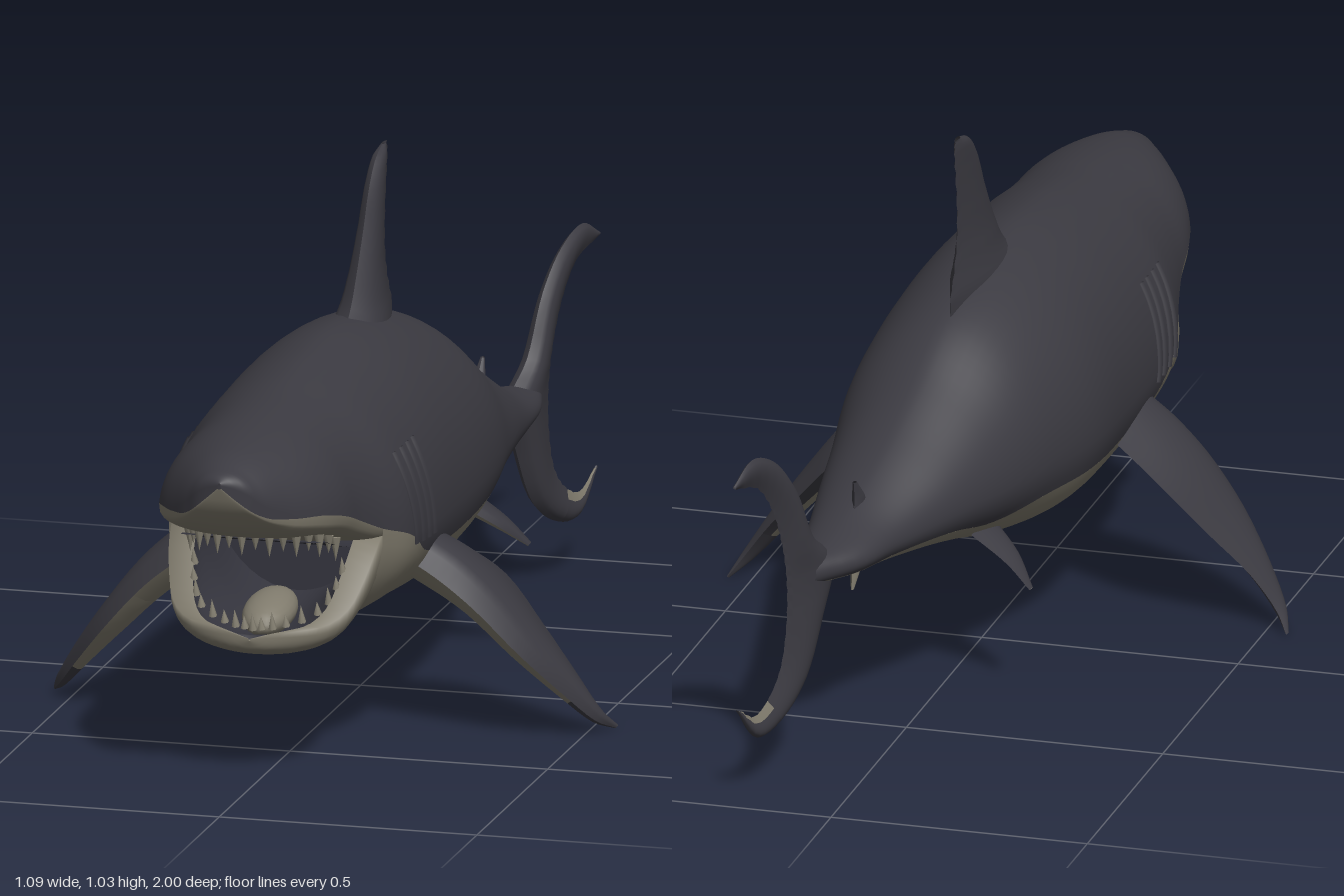
import * as THREE from 'three';

const mat = (name, color) => {
  const m = new THREE.MeshStandardMaterial({ color, side: THREE.DoubleSide });
  m.name = name;
  return m;
};
const V = (x, y, z) => new THREE.Vector3(x, y, z);

// Skin a list of cross-sections that all have the same number of points
function loft(rings) {
  const n = rings[0].length, idx = [];
  for (let i = 0; i < rings.length - 1; i++)
    for (let j = 0; j < n - 1; j++) {
      const a = i * n + j, c = a + n;
      idx.push(a, a + 1, c, a + 1, c + 1, c);
    }
  const g = new THREE.BufferGeometry().setFromPoints(rings.flat());
  g.setIndex(idx);
  g.computeVertexNormals();
  return g;
}
const steps = (a, b, n) => Array.from({ length: n + 1 }, (_, i) => a + (b - a) * i / n);

// Smooth table lookup: first column is z
function table(rows) {
  const f = new THREE.CubicInterpolant(rows.map(r => r[0]), rows.flatMap(r => r.slice(1)), rows[0].length - 1);
  return z => Array.from(f.evaluate(z));
}

// z, centre x, half width, top, widest y, bottom, colour line, upper lip
const bodyAt = table([
  [-0.74, 0.127, 0.022, 0.41, 0.385, 0.36, 0.364, 0.44],
  [-0.66, 0.105, 0.064, 0.422, 0.385, 0.352, 0.364, 0.44],
  [-0.55, 0.09, 0.09, 0.455, 0.39, 0.34, 0.366, 0.44],
  [-0.4, 0.06, 0.14, 0.532, 0.41, 0.32, 0.366, 0.44],
  [-0.28, 0.04, 0.175, 0.605, 0.42, 0.295, 0.344, 0.44],
  [-0.15, 0.025, 0.21, 0.688, 0.43, 0.26, 0.36, 0.44],
  [0, 0.01, 0.235, 0.735, 0.43, 0.236, 0.362, 0.44],
  [0.2, 0.005, 0.24, 0.76, 0.43, 0.229, 0.362, 0.44],
  [0.4, 0.002, 0.24, 0.75, 0.43, 0.25, 0.385, 0.44],
  [0.5, 0.002, 0.235, 0.738, 0.44, 0.255, 0.44, 0.44],
  [0.6, 0, 0.208, 0.725, 0.46, 0.25, 0.475, 0.442],
  [0.68, 0, 0.191, 0.718, 0.49, 0.25, 0.508, 0.463],
  [0.76, 0, 0.182, 0.71, 0.52, 0.25, 0.538, 0.49],
  [0.84, 0, 0.158, 0.7, 0.545, 0.25, 0.558, 0.505],
  [0.91, 0, 0.115, 0.688, 0.566, 0.25, 0.566, 0.533],
  [0.96, 0, 0.073, 0.672, 0.6, 0.25, 0.58, 0.57],
  [0.99, 0, 0.034, 0.66, 0.635, 0.25, 0.612, 0.608],
  [1, 0, 0.003, 0.65, 0.645, 0.25, 0.64, 0.638],
]);
// Shoulders slope a little; the snout stays full
function bodyPoint(z, a, grow = 0) {
  const [cx, hw, top, cy, bot] = bodyAt(z), s = Math.sin(a), c = Math.cos(a);
  const slope = s > 0 ? 1.15 - 0.15 * THREE.MathUtils.smoothstep(z, 0.45, 0.65) : 1;
  return V(cx + (hw + grow) * Math.sign(c) * Math.abs(c) ** slope,
    cy + ((s > 0 ? top - cy : cy - bot) + grow) * s, z);
}
function splitAngle(z) {
  const [, , top, cy, bot, split] = bodyAt(z);
  const h = split > cy ? top - cy : cy - bot;
  return Math.asin(THREE.MathUtils.clamp((split - cy) / h, -1, 1));
}
// Snout underside between the two colour lines
function underside(z) {
  const [cx, hw, , , , split, lip] = bodyAt(z), w = hw * Math.cos(splitAngle(z));
  return steps(Math.PI, 2 * Math.PI, 20).map(a =>
    V(cx + w * Math.cos(a), split - (split - lip) * Math.abs(Math.sin(a)) ** 0.6, z));
}

// z, half width, rim height, bottom
const jawAt = table([
  [0.44, 0.21, 0.46, 0.275], [0.58, 0.204, 0.465, 0.255], [0.63, 0.199, 0.43, 0.25],
  [0.67, 0.188, 0.385, 0.249], [0.71, 0.17, 0.342, 0.25], [0.745, 0.135, 0.318, 0.255],
  [0.77, 0.085, 0.31, 0.265], [0.782, 0.035, 0.302, 0.278], [0.786, 0.002, 0.295, 0.29],
]);
function jawArc(z, inner) {
  const [w0, rim, bot] = jawAt(z);
  const w = inner ? w0 * 0.75 : w0, d = inner ? Math.max(0.002, rim - bot - 0.03) : rim - bot;
  return steps(Math.PI, 2 * Math.PI, 20).map(a =>
    V(w * Math.cos(a), rim - d * Math.abs(Math.sin(a)) ** (inner ? 1.2 : 0.8), z));
}

// Fin skins from leading points, trailing points and half thicknesses
function fin(lead, trail, thick, normal, serration = 0, n = 24) {
  const L = new THREE.CatmullRomCurve3(lead), T = new THREE.CatmullRomCurve3(trail);
  const side = s => steps(0, 1, n).map((t, i) => {
    const a = L.getPoint(t), b = T.getPoint(t), k = t * (thick.length - 1), k0 = Math.floor(k);
    const th = THREE.MathUtils.lerp(thick[k0], thick[Math.min(k0 + 1, thick.length - 1)], k - k0);
    b.z += (i % 2) * serration;
    return steps(0, 1, 10).map(u =>
      a.clone().lerp(b, u).addScaledVector(normal, s * th * Math.sin(Math.PI * u ** 0.65)));
  });
  return [side(1), side(-1)];
}

export function createModel() {
  const dark = mat('slate skin', 0x3b3a41), pale = mat('pale belly', 0x7f7a6c);
  const mouth = mat('dark mouth', 0x34343d), ivory = mat('ivory teeth', 0x8c8778);
  const root = new THREE.Group();
  root.name = 'shark';
  const add = (name, geo, material, parent = root) => {
    const m = new THREE.Mesh(geo, material);
    m.name = name;
    parent.add(m);
    return m;
  };

  // Body: dark back up to the nose, pale belly, pale snout underside
  add('back', loft([...steps(-0.74, 0.9, 70), ...steps(0.91, 1, 12)].map(z => {
    const a = splitAngle(z);
    return steps(a, Math.PI - a, 36).map(t => bodyPoint(z, t));
  })), dark);
  add('belly', loft(steps(-0.74, 0.6, 60).map(z => {
    const a = splitAngle(z);
    return steps(Math.PI - a, 2 * Math.PI + a, 24).map(t => bodyPoint(z, t));
  })), pale);
  add('snoutUnderside', loft([...steps(0.45, 0.9, 24), ...steps(0.91, 1, 12)].map(underside)), pale);

  // Mouth: palate, open lower jaw, throat and tongue
  add('palate', loft(steps(0.45, 0.8, 12).map(z => {
    const [, hw, , , , , lip] = bodyAt(z);
    return steps(-1, 1, 8).map(u => V(u * hw * 0.75, lip - 0.005, z));
  })), mouth);
  const jawZ = [...steps(0.44, 0.74, 20), ...steps(0.75, 0.786, 9)];
  add('lowerJaw', loft(jawZ.map(z => {
    const o = jawArc(z, false), i = jawArc(z, true);
    return [i[0], ...o, i[20]];
  })), pale);
  add('mouthLining', loft(jawZ.map(z => jawArc(z, true).reverse())), mouth);
  const throat = new THREE.Shape(jawArc(0.45, true).map(p => new THREE.Vector2(p.x, p.y)));
  add('throat', new THREE.ShapeGeometry(throat).translate(0, 0, 0.45), mouth);
  const tongue = add('tongue', new THREE.SphereGeometry(1, 20, 12), pale);
  tongue.scale.set(0.05, 0.034, 0.085);
  tongue.position.set(0, 0.312, 0.64);
  tongue.rotation.x = 0.2;

  // Teeth in two arcs
  const teeth = new THREE.Group();
  teeth.name = 'teeth';
  root.add(teeth);
  steps(-1.45, 1.45, 16).forEach((f, i) => {
    const len = i % 2 ? 0.036 : 0.048, z = 0.67 + 0.17 * Math.cos(f);
    const up = add('upperTooth', new THREE.ConeGeometry(0.011, len, 6), ivory, teeth);
    up.rotation.x = Math.PI;
    up.position.set(0.142 * Math.sin(f), bodyAt(z)[6] + 0.012 - len / 2, z);
    const lz = 0.64 + 0.125 * Math.cos(f), lx = Math.min(0.145, jawAt(lz)[0] * 0.87);
    const low = add('lowerTooth', new THREE.ConeGeometry(0.008, len * 0.75, 6), ivory, teeth);
    low.rotation.x = 0.25;
    low.position.set(lx * Math.sin(f), jawAt(lz)[1] + len * 0.25, lz);
  });

  for (const s of [1, -1]) {
    const side = s > 0 ? 'left' : 'right';
    // Gill folds
    for (const z of [0.365, 0.4, 0.44, 0.48]) {
      const path = steps(-0.1, 0.55, 8).map(a =>
        bodyPoint(z + 0.015 * Math.sin(a * 3), s > 0 ? a : Math.PI - a, -0.002));
      add(side + 'Gill', new THREE.TubeGeometry(new THREE.CatmullRomCurve3(path), 16, 0.008, 6), dark);
    }

    // Pectoral fin: dark above, pale below with a dark tip and trailing edge
    const [top, under] = fin(
      [[0.17, 0.375, 0.385], [0.25, 0.325, 0.378], [0.32, 0.268, 0.37], [0.4, 0.18, 0.345], [0.47, 0.095, 0.29],
        [0.52, 0.032, 0.235], [0.545, 0.006, 0.18]].map(p => V(s * p[0], p[1], p[2])),
      [[0.17, 0.375, 0.19], [0.25, 0.33, 0.155], [0.32, 0.278, 0.137], [0.4, 0.19, 0.16], [0.47, 0.11, 0.187],
        [0.52, 0.042, 0.19], [0.545, 0.008, 0.165]].map(p => V(s * p[0], p[1], p[2])),
      [0.052, 0.048, 0.04, 0.031, 0.021, 0.012, 0.003], V(s * 0.73, 0.68, 0));
    add(side + 'PectoralTop', loft(top), dark);
    add(side + 'PectoralUnderside', loft(under.slice(0, 10)), pale);
    add(side + 'PectoralUndersideFront', loft(under.slice(9, 18).map(r => r.slice(0, 8))), pale);
    add(side + 'PectoralUndersideEdge', loft(under.slice(9, 18).map(r => r.slice(7))), dark);
    add(side + 'PectoralTip', loft(under.slice(17)), dark);

    // Pelvic fin
    const px = d => 0.035 + s * d;
    const [pt, pu] = fin(
      [V(px(0.1), 0.32, -0.18), V(px(0.17), 0.268, -0.225), V(px(0.215), 0.222, -0.275)],
      [V(px(0.1), 0.32, -0.29), V(px(0.17), 0.27, -0.292), V(px(0.215), 0.224, -0.295)],
      [0.018, 0.011, 0.003], V(s * 0.64, 0.77, 0), 0, 10);
    add(side + 'PelvicTop', loft(pt), dark);
    add(side + 'PelvicUnderside', loft(pu), pale);
  }

  // Upright fins: [y, leading z, trailing z, half thickness]
  const upright = (name, rows, x, material, serration) => fin(
    rows.map(r => V(x, r[0], r[1])), rows.map(r => V(x, r[0], r[2])), rows.map(r => r[3]), V(1, 0, 0), serration)
    .forEach(skin => add(name, loft(skin), material));
  upright('dorsalFin', [[0.66, 0.25, -0.13, 0.06], [0.72, 0.21, -0.145, 0.052], [0.77, 0.145, -0.12, 0.037],
    [0.83, 0.1, -0.1, 0.027], [0.9, 0.055, -0.1, 0.021], [0.97, 0.015, -0.11, 0.017],
    [1.015, -0.03, -0.116, 0.013], [1.033, -0.08, -0.112, 0.004]], 0.02, dark, 0.007);
  upright('secondDorsalFin', [[0.42, -0.48, -0.565, 0.016], [0.47, -0.515, -0.555, 0.012],
    [0.505, -0.548, -0.56, 0.004]], 0.085, dark, 0);
  upright('analFin', [[0.36, -0.48, -0.55, 0.014], [0.325, -0.515, -0.553, 0.01],
    [0.29, -0.548, -0.558, 0.003]], 0.09, pale, 0);

  // Crescent tail, bending toward +x: outer z, y, inner z, y, half thickness
  const tail = [
    [-0.995, 0.642, -0.99, 0.635, 0.003], [-0.93, 0.674, -0.91, 0.61, 0.01], [-0.85, 0.645, -0.86, 0.555, 0.014],
    [-0.78, 0.575, -0.828, 0.49, 0.018], [-0.72, 0.46, -0.81, 0.43, 0.023], [-0.645, 0.388, -0.802, 0.37, 0.028],
    [-0.68, 0.29, -0.805, 0.3, 0.023], [-0.74, 0.18, -0.825, 0.225, 0.019], [-0.82, 0.125, -0.865, 0.18, 0.015],
    [-0.91, 0.113, -0.92, 0.158, 0.01], [-0.985, 0.192, -0.975, 0.188, 0.003]];
  const tx = z => 0.12 + (-0.7 - z) * 0.24;
  fin(tail.map(r => V(tx(r[0]), r[1], r[0])), tail.map(r => V(tx(r[2]), r[3], r[2])), tail.map(r => r[4]),
    V(0.97, 0, 0.24), 0.005, 50).forEach(skin => {
    add('tailFin', loft(skin.slice(0, 42)), dark);
    add('tailLowerTip', loft(skin.slice(41).map(r => r.slice(0, 8))), dark);
    add('tailLowerTipEdge', loft(skin.slice(41).map(r => r.slice(7))), pale);
  });

  return root;
}
